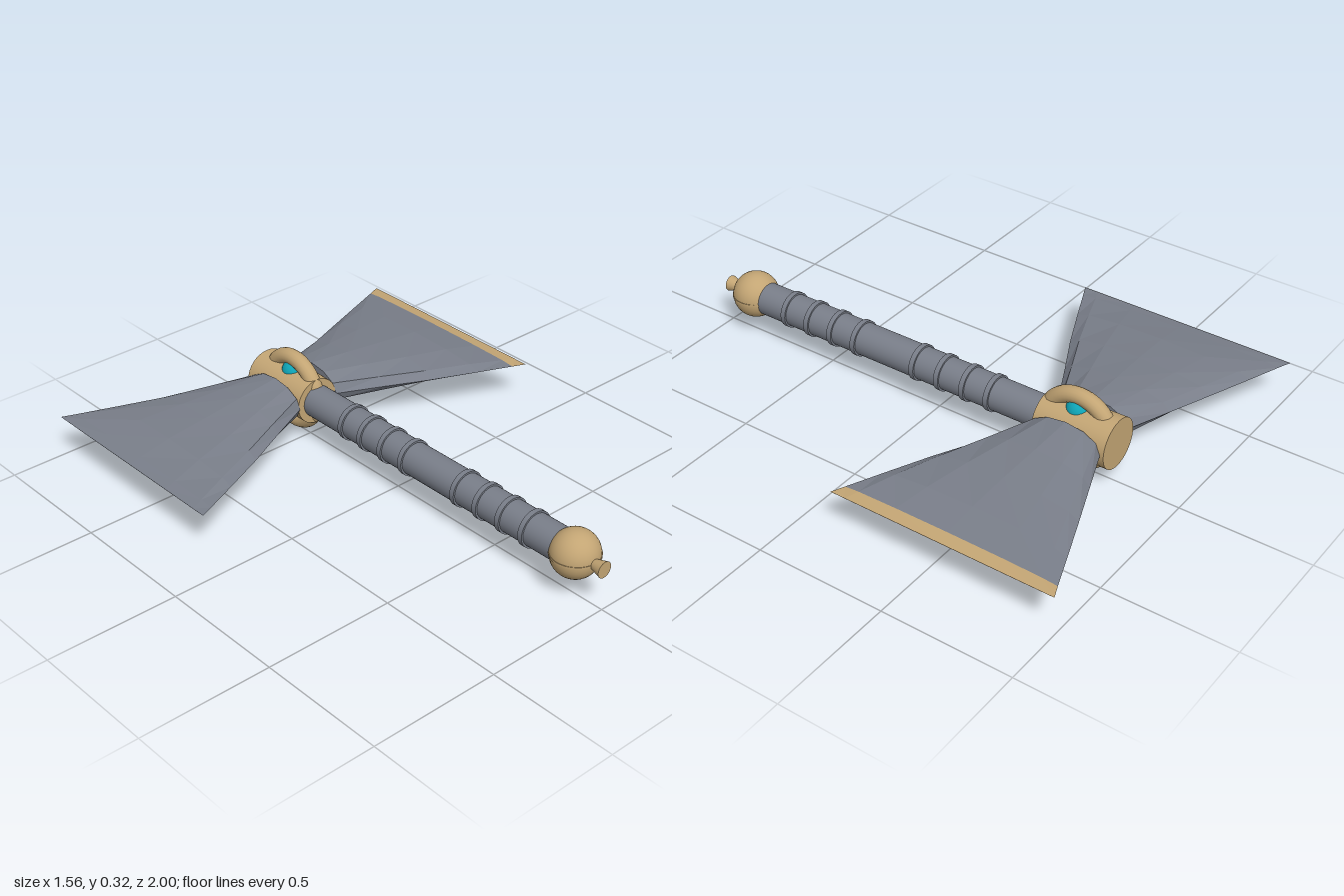
import * as THREE from 'three';

const AXIS_Y = 0.165, HEAD_Z = -0.588;

// Blade outline stations: x, back z, front z, half thickness
const STATIONS = [
  [0.088, -0.733, -0.448, 0.074],
  [0.26, -0.8, -0.365, 0.06],
  [0.43, -0.866, -0.28, 0.046],
  [0.6, -0.931, -0.204, 0.031],
  [0.73, -0.98, -0.147, 0.009],
  [0.78, -1, -0.125, 0.0005],
];

// Loft of twelve-sided oval sections from one station to another
function bladeGeometry(first, last, side) {
  const n = 12, pos = [], idx = [];
  const rows = STATIONS.slice(first, last + 1);
  for (const [x, back, front, half] of rows) {
    const mid = (back + front) / 2, reach = (front - back) / 2;
    for (let j = 0; j < n; j++) {
      const a = (j / n) * Math.PI * 2;
      pos.push(side * x, half * Math.sin(a), mid + reach * Math.cos(a));
    }
  }
  const tri = (a, b, c) => (side > 0 ? idx.push(a, b, c) : idx.push(a, c, b));
  for (let i = 0; i < rows.length - 1; i++) {
    for (let j = 0; j < n; j++) {
      const k = (j + 1) % n, a = i * n, b = a + n;
      tri(a + j, b + j, b + k);
      tri(a + j, b + k, a + k);
    }
  }
  // End caps
  const end = (rows.length - 1) * n;
  for (let j = 1; j < n - 1; j++) {
    tri(0, j, j + 1);
    tri(end, end + j + 1, end + j);
  }
  const g = new THREE.BufferGeometry();
  g.setAttribute('position', new THREE.Float32BufferAttribute(pos, 3));
  g.setIndex(idx);
  const flat = g.toNonIndexed();
  flat.computeVertexNormals();
  return flat;
}

export function createModel() {
  const steel = new THREE.MeshStandardMaterial({ color: 0x797e89 });
  const gold = new THREE.MeshStandardMaterial({ color: 0xc3a574 });
  const teal = new THREE.MeshStandardMaterial({ color: 0x0fa6b8 });
  steel.name = 'steel';
  gold.name = 'gold';
  teal.name = 'teal';

  const model = new THREE.Group();
  model.name = 'doubleAxe';
  const add = (name, geometry, material, z = 0, y = 0) => {
    const mesh = new THREE.Mesh(geometry, material);
    mesh.name = name;
    mesh.position.set(0, AXIS_Y + y, z);
    model.add(mesh);
    return mesh;
  };
  // Round part along z, between two z values
  const rod = (name, material, z0, z1, r0, r1 = r0) =>
    add(name, new THREE.CylinderGeometry(r1, r0, z1 - z0, 32).rotateX(Math.PI / 2), material, (z0 + z1) / 2);

  // Handle with two groups of raised bands
  rod('handle', steel, -0.5, 0.82, 0.063);
  for (const z of [-0.245, -0.14, -0.03, 0.08, 0.35, 0.46, 0.57, 0.68]) {
    rod('handleBand', steel, z - 0.01, z + 0.01, 0.07);
  }

  // Pommel with flared tip
  add('pommel', new THREE.SphereGeometry(0.089, 32, 20), gold, 0.87);
  rod('pommelTip', gold, 0.93, 1, 0.012, 0.031);
  add('pommelSeam', new THREE.CylinderGeometry(0.0905, 0.0905, 0.008, 32), gold, 0.87);

  // Head socket, ring and gems
  rod('headSocket', gold, -0.75, -0.455, 0.097, 0.09);
  add('headRing', new THREE.TorusGeometry(0.13, 0.031, 16, 48).rotateY(Math.PI / 2), gold, HEAD_Z);
  for (const s of [1, -1]) {
    add('gem', new THREE.SphereGeometry(0.047, 24, 16), teal, HEAD_Z, s * 0.075);
  }

  // Blades; only the left one carries a gold cutting edge
  add('leftBlade', bladeGeometry(0, 4, 1), steel);
  add('leftBladeEdge', bladeGeometry(4, 5, 1), gold);
  add('rightBlade', bladeGeometry(0, 5, -1), steel);
  return model;
}
